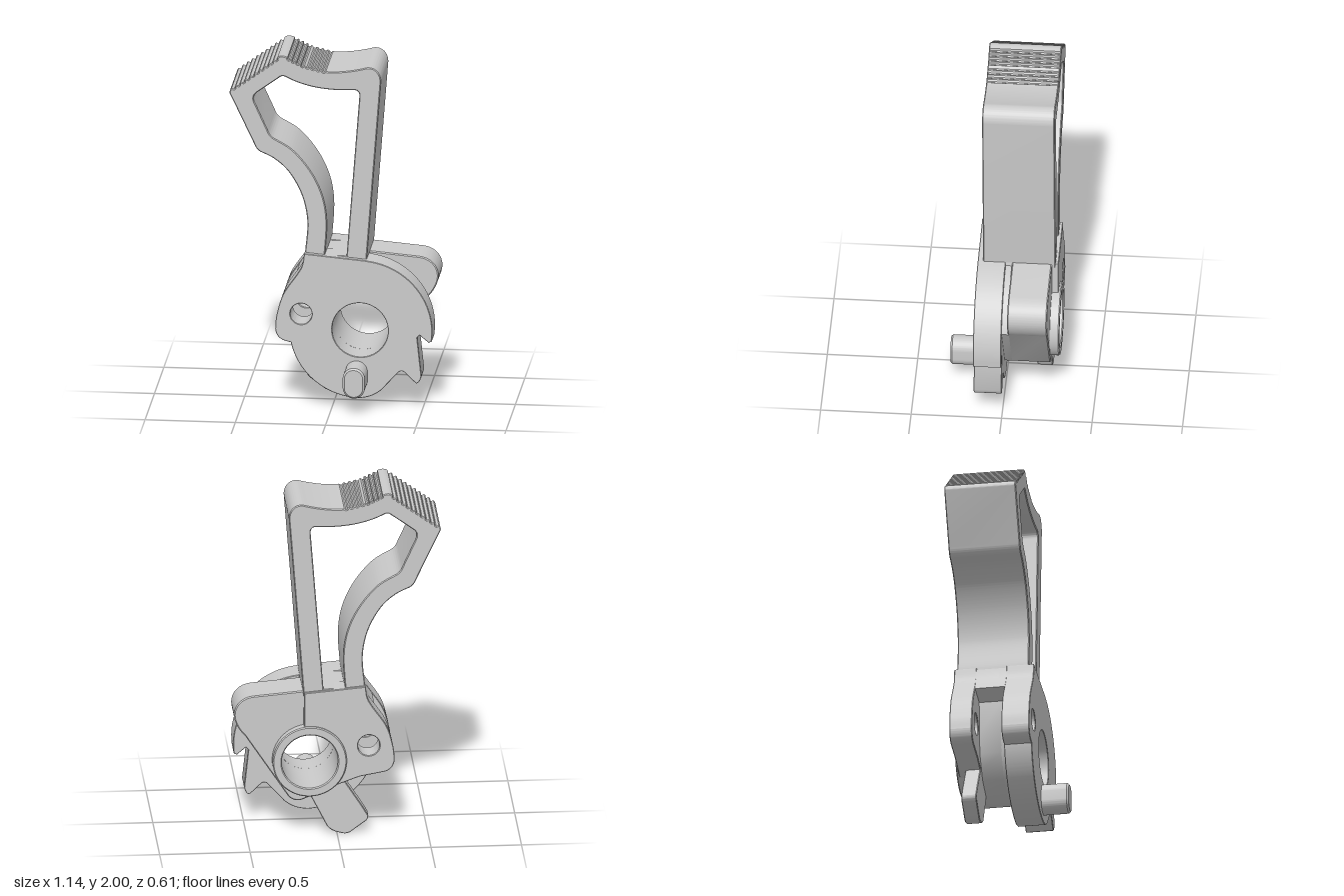
import * as THREE from 'three';
import { toCreasedNormals } from 'three/addons/utils/BufferGeometryUtils.js';

const material = new THREE.MeshStandardMaterial({ color: 0xcccccc });
const PIVOT = [0.155, 0.445];
const BORE = 0.155;
const vec = (pts) => pts.map(([x, y]) => new THREE.Vector2(x, y));

// Extrudes an outline between two depths, with a small edge bevel kept inside the outline.
function slab(name, shape, z0, z1, bevel) {
  const geometry = new THREE.ExtrudeGeometry(shape, {
    depth: z1 - z0 - 2 * bevel, curveSegments: 32, bevelEnabled: bevel > 0,
    bevelThickness: bevel, bevelSize: bevel, bevelOffset: -bevel, bevelSegments: 1,
  });
  geometry.translate(0, 0, z0 + bevel);
  const mesh = new THREE.Mesh(toCreasedNormals(geometry, 0.6), material);
  mesh.name = name;
  return mesh;
}

function addHole(shape, [x, y], r) {
  shape.holes.push(new THREE.Path().absarc(x, y, r, 0, Math.PI * 2, false));
  return shape;
}

// Left edge shared by both cheeks, from the lower corner up to the loop.
function cheekEdge(shape) {
  shape.lineTo(-0.26, 0.37);
  shape.quadraticCurveTo(-0.31, 0.385, -0.315, 0.44);
  shape.splineThru(vec([[-0.307, 0.52], [-0.27, 0.64], [-0.19, 0.76], [-0.165, 0.81], [-0.155, 0.875]]));
}

// Adds grip teeth between two points, cut inwards.
function serrate(shape, a, b, teeth, depth) {
  const dx = b[0] - a[0], dy = b[1] - a[1], len = Math.hypot(dx, dy);
  for (let i = 1; i <= teeth * 4; i++) {
    const t = i / (teeth * 4);
    const d = i % 4 === 1 || i % 4 === 2 ? depth : 0;
    shape.lineTo(a[0] + dx * t + (dy / len) * d, a[1] + dy * t - (dx / len) * d);
  }
}

// Round front plate with two catch notches.
function frontPlate() {
  const s = new THREE.Shape();
  s.moveTo(-0.155, 0.875);
  s.lineTo(0.19, 0.845);
  s.absarc(...PIVOT, 0.4, 1.45, -0.04, true);
  s.lineTo(0.552, 0.39);
  s.lineTo(0.535, 0.383);
  s.lineTo(0.485, 0.425);
  s.lineTo(0.472, 0.41);
  s.lineTo(0.495, 0.19);
  s.quadraticCurveTo(0.488, 0.15, 0.465, 0.147);
  s.lineTo(0.405, 0.205);
  s.quadraticCurveTo(0.385, 0.225, 0.365, 0.205);
  s.lineTo(0.275, 0.105);
  s.quadraticCurveTo(0.22, 0.055, 0.14, 0.053);
  s.absarc(...PIVOT, 0.392, -1.62, -2.93, true);
  cheekEdge(s);
  addHole(s, [-0.172, 0.528], 0.06);
  return addHole(s, PIVOT, BORE);
}

// Central block, optionally reaching out into the side lobe.
function coreBlock(lobe) {
  const s = new THREE.Shape();
  s.moveTo(-0.155, 0.865);
  s.lineTo(0.19, 0.845);
  if (lobe) {
    s.lineTo(0.46, 0.822);
    s.bezierCurveTo(0.54, 0.815, 0.585, 0.75, 0.565, 0.68);
    s.quadraticCurveTo(0.55, 0.63, 0.51, 0.59);
  } else {
    s.absarc(...PIVOT, 0.383, 1.47, 0.388, true);
  }
  s.lineTo(0.27, 0.225);
  s.quadraticCurveTo(0.235, 0.19, 0.19, 0.205);
  s.lineTo(0.03, 0.275);
  s.lineTo(-0.06, 0.4);
  s.lineTo(-0.08, 0.7);
  s.lineTo(-0.212, 0.725);
  s.lineTo(-0.185, 0.765);
  s.lineTo(-0.163, 0.81);
  return addHole(s, PIVOT, BORE);
}

// Back cheek on the far side of the slot, ending around the bore.
function backCheek() {
  const s = new THREE.Shape();
  s.moveTo(-0.155, 0.875);
  s.lineTo(0.185, 0.845);
  s.absarc(...PIVOT, 0.16, 1.382, -1.382, false);
  s.lineTo(0.185, 0.26);
  s.lineTo(0.03, 0.29);
  s.lineTo(-0.12, 0.345);
  cheekEdge(s);
  return addHole(s, [-0.172, 0.528], 0.06);
}

// Open loop spur with a serrated thumb grip.
function loopSpur() {
  const s = new THREE.Shape();
  s.moveTo(-0.15, 0.82);
  s.splineThru(vec([[-0.152, 0.88], [-0.14, 1.05], [-0.17, 1.2], [-0.24, 1.33], [-0.32, 1.405], [-0.4, 1.445]]));
  s.quadraticCurveTo(-0.425, 1.46, -0.435, 1.49);
  s.lineTo(-0.57, 1.775);
  s.quadraticCurveTo(-0.575, 1.79, -0.56, 1.806);
  serrate(s, [-0.56, 1.806], [-0.3, 1.995], 10, 0.012);
  s.quadraticCurveTo(-0.28, 2.006, -0.25, 1.993);
  serrate(s, [-0.25, 1.993], [-0.15, 1.945], 4, 0.011);
  serrate(s, [-0.15, 1.945], [-0.03, 1.917], 4, 0.008);
  s.quadraticCurveTo(0.07, 1.914, 0.19, 1.947);
  s.bezierCurveTo(0.24, 1.953, 0.272, 1.91, 0.267, 1.86);
  s.lineTo(0.187, 0.82);

  const h = new THREE.Path();
  h.moveTo(-0.043, 0.86);
  h.splineThru(vec([[-0.032, 1.05], [-0.055, 1.2], [-0.12, 1.34], [-0.22, 1.46], [-0.325, 1.525]]));
  h.quadraticCurveTo(-0.35, 1.54, -0.36, 1.57);
  h.lineTo(-0.435, 1.735);
  h.quadraticCurveTo(-0.445, 1.765, -0.42, 1.785);
  h.lineTo(-0.29, 1.88);
  h.quadraticCurveTo(-0.275, 1.89, -0.25, 1.875);
  h.quadraticCurveTo(-0.1, 1.8, 0.12, 1.816);
  h.quadraticCurveTo(0.15, 1.815, 0.148, 1.78);
  h.lineTo(0.077, 0.86);
  // Wound opposite to the outline so its walls face into the opening.
  s.holes.push(new THREE.Path(h.getPoints(16).reverse()));
  return s;
}

// Slanted strut under the back cheek, stopping short of the bore.
function strut() {
  const s = new THREE.Shape();
  s.moveTo(-0.02, 0.34);
  s.lineTo(-0.13, 0.17);
  s.lineTo(-0.172, 0.1);
  s.quadraticCurveTo(-0.174, 0.078, -0.155, 0.065);
  s.lineTo(-0.075, 0.006);
  s.quadraticCurveTo(-0.05, -0.01, -0.02, 0.001);
  s.quadraticCurveTo(0.045, 0.015, 0.062, 0.055);
  s.lineTo(0.16, 0.25);
  return s;
}

// Oblong stud outline.
function oblong(x, y, r, half) {
  const s = new THREE.Shape();
  s.absarc(x, y + half, r, 0, Math.PI);
  s.absarc(x, y - half, r, Math.PI, Math.PI * 2);
  return s;
}

export function createModel() {
  const group = new THREE.Group();
  group.name = 'loopLever';
  const ring = addHole(new THREE.Shape().absarc(...PIVOT, 0.205, 0, Math.PI * 2), PIVOT, BORE);
  group.add(
    slab('frontPlate', frontPlate(), 0, 0.155, 0.003),
    slab('innerBlock', coreBlock(false), -0.045, 0.002, 0),
    slab('sideLobeBlock', coreBlock(true), -0.255, -0.035, 0.006),
    slab('backCheek', backCheek(), -0.292, -0.165, 0.004),
    slab('pivotBoss', ring, -0.307, -0.2, 0.006),
    slab('loopSpur', loopSpur(), -0.275, 0.125, 0.005),
    slab('lowerStrut', strut(), -0.25, -0.165, 0.004),
    slab('stud', oblong(0.135, 0.18, 0.061, 0.026), 0.14, 0.306, 0.01),
  );
  return group;
}
